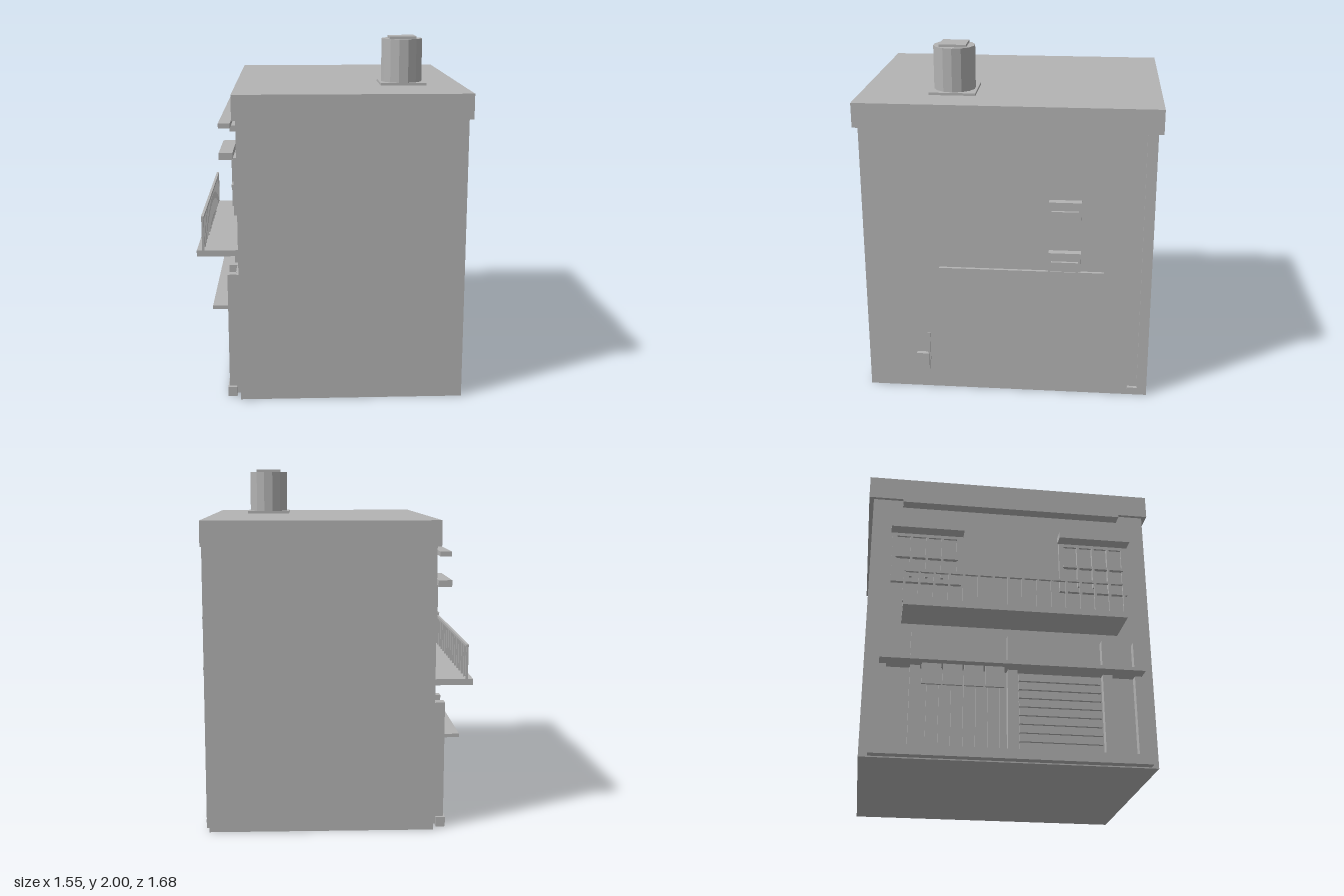
import * as THREE from 'three';

export function createModel() {
  const model = new THREE.Group();
  model.name = 'shopHouse';
  const grey = new THREE.MeshStandardMaterial({ color: 0xb3b3b3 });
  grey.name = 'plain grey';

  // Box given by its limits on each axis
  function box(name, x0, x1, y0, y1, z0, z1) {
    const mesh = new THREE.Mesh(new THREE.BoxGeometry(x1 - x0, y1 - y0, z1 - z0), grey);
    mesh.position.set((x0 + x1) / 2, (y0 + y1) / 2, (z0 + z1) / 2);
    mesh.name = name;
    model.add(mesh);
    return mesh;
  }

  // Main block and roof slab
  box('walls', -0.535, 0.715, 0, 1.6, -0.813, 0.813);
  box('roofSlab', -0.555, 0.735, 1.59, 1.728, -0.84, 0.84);

  // Roof tank on a square plate
  box('tankBase', 0.27, 0.53, 1.728, 1.742, 0.19, 0.45);
  const tankGeometry = new THREE.CylinderGeometry(0.117, 0.117, 0.245, 14).toNonIndexed();
  tankGeometry.computeVertexNormals();
  const tank = new THREE.Mesh(tankGeometry, grey);
  tank.name = 'tank';
  tank.rotation.y = Math.PI / 2;
  tank.position.set(0.4, 1.8635, 0.32);
  model.add(tank);
  box('tankLid', 0.324, 0.475, 1.986, 2, 0.245, 0.395);

  // Ground floor: back panel, sill and posts
  box('shopPanel', -0.555, -0.535, 0.01, 0.712, -0.745, 0.745);
  box('shopSill', -0.608, -0.556, 0, 0.055, -0.765, 0.765);
  for (const z of [-0.718, -0.535, 0, 0.535, 0.718]) {
    box('shopPost', -0.6, -0.55, 0.01, 0.715, z - 0.027, z + 0.027);
  }

  // Lattice door
  for (let i = 0; i < 7; i++) {
    const z = -0.46 + i * 0.067;
    box('latticeBar', -0.575, -0.55, 0.055, 0.51, z - 0.008, z + 0.008);
  }

  // Roller shutter slats
  for (let i = 0; i < 9; i++) {
    const y = 0.06 + i * 0.05;
    box('shutterSlat', -0.572, -0.55, y, y + 0.038, 0.04, 0.5);
  }

  // Canopy with hanging cloth panels
  box('shopCanopy', -0.685, -0.55, 0.51, 0.53, -0.73, 0.73);
  for (let i = 0; i < 4; i++) {
    const z = -0.5 + i * 0.115;
    box('clothPanel', -0.637, -0.624, 0.39, 0.51, z, z + 0.105);
  }

  // Balcony and railing
  box('balconyFloor', -0.778, -0.535, 0.785, 0.82, -0.62, 0.62);
  box('topRail', -0.748, -0.733, 1.005, 1.02, -0.625, 0.625);
  for (let i = 0; i < 16; i++) {
    const z = -0.617 + i * (1.234 / 15);
    box('baluster', -0.747, -0.734, 0.82, 1.006, z - 0.007, z + 0.007);
  }

  // Upper windows with sash bars and small canopies
  for (const side of [-1, 1]) {
    const c = side * 0.49;
    box('windowPane', -0.545, -0.535, 1.045, 1.36, c - 0.19, c + 0.19);
    for (const s of [-1, 1]) {
      const z = c + s * 0.187;
      box('windowJamb', -0.558, -0.535, 1.04, 1.365, z - 0.014, z + 0.014);
    }
    box('windowSill', -0.558, -0.535, 1.04, 1.068, c - 0.2, c + 0.2);
    box('windowHead', -0.558, -0.535, 1.337, 1.365, c - 0.2, c + 0.2);
    for (const offset of [-0.09, 0, 0.09]) {
      box('sashBar', -0.572, -0.54, 1.07, 1.335, c + offset - 0.007, c + offset + 0.007);
    }
    box('sashRail', -0.57, -0.54, 1.195, 1.21, c - 0.18, c + 0.18);
    box('windowCanopy', -0.635, -0.56, 1.355, 1.393, c - 0.21, c + 0.21);
  }
  box('upperLedge', -0.64, -0.575, 1.52, 1.547, -0.64, 0.64);

  // Vent units on the side wall
  for (const y of [0.79, 1.09]) {
    box('ventBox', 0.713, 0.758, y, y + 0.11, -0.415, -0.235);
    box('ventSlat', 0.757, 0.774, y + 0.05, y + 0.062, -0.4, -0.25);
  }

  // Side wall pipes and meter
  box('wallConduit', 0.714, 0.733, 0.765, 0.776, -0.545, 0.385);
  box('drainPipe', 0.714, 0.733, 0.01, 1.59, -0.772, -0.755);
  box('drainOutlet', 0.714, 0.735, 0.04, 0.056, -0.765, -0.7);
  box('meterBox', 0.714, 0.74, 0.12, 0.227, 0.456, 0.53);
  box('meterPipe', 0.714, 0.726, 0.18, 0.353, 0.45, 0.465);

  return model;
}
